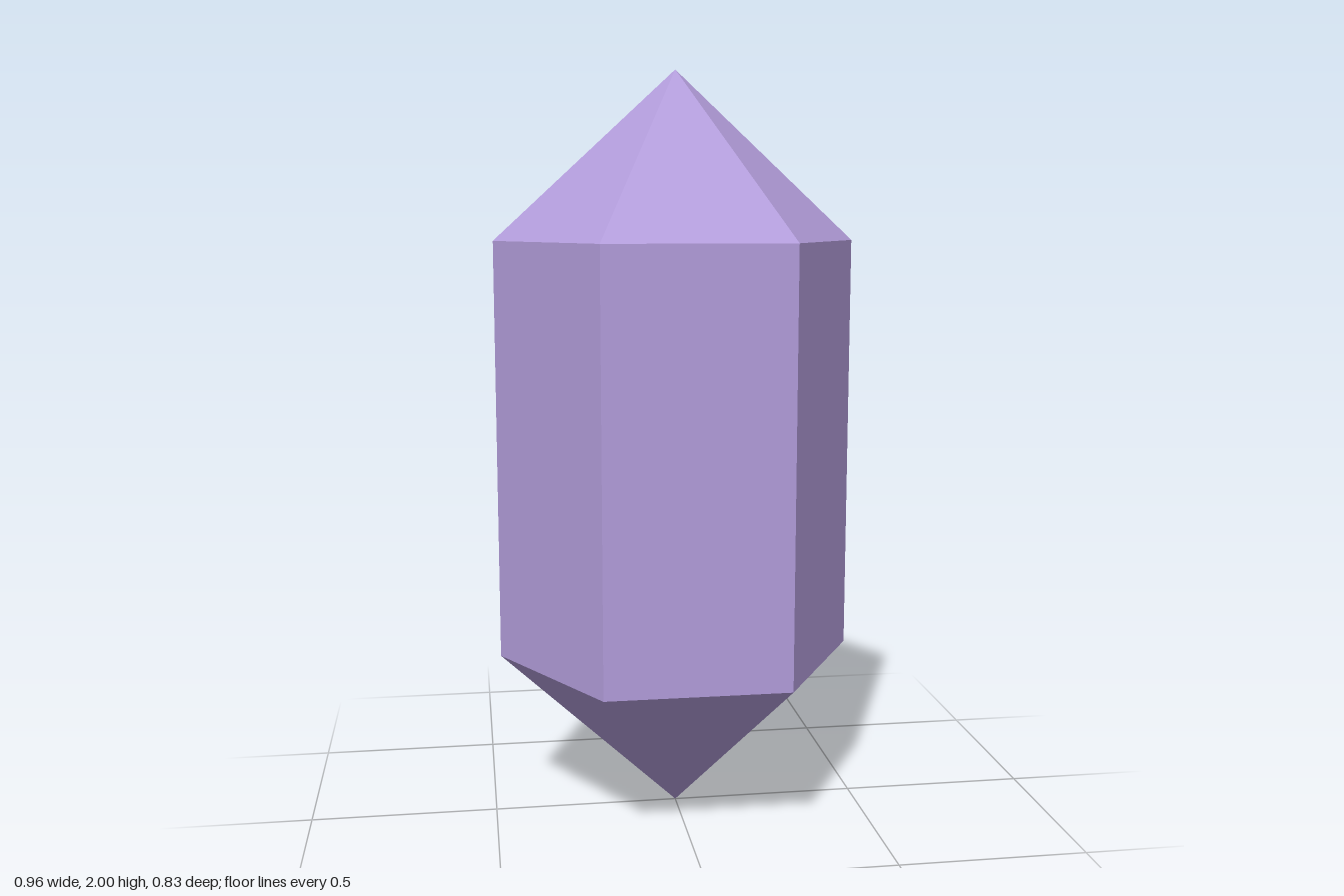
import * as THREE from 'three';

const SIDES = 6;
const RADIUS = 0.48;
const BODY_HEIGHT = 1.12;
const TIP_HEIGHT = 0.44;

export function createModel() {
  const crystal = new THREE.Group();
  crystal.name = 'crystal';
  const material = new THREE.MeshStandardMaterial({ color: 0xb39ddb, flatShading: true });

  // Open six-sided section with corners on the x axis
  const addSection = (name, topRadius, bottomRadius, height, y) => {
    const geometry = new THREE.CylinderGeometry(
      topRadius, bottomRadius, height, SIDES, 1, true, Math.PI / 2);
    const mesh = new THREE.Mesh(geometry, material);
    mesh.name = name;
    mesh.position.y = y;
    crystal.add(mesh);
  };

  // Pointed ends and the prism between them
  addSection('bottomTip', RADIUS, 0, TIP_HEIGHT, TIP_HEIGHT / 2);
  addSection('prismBody', RADIUS, RADIUS, BODY_HEIGHT, TIP_HEIGHT + BODY_HEIGHT / 2);
  addSection('topTip', 0, RADIUS, TIP_HEIGHT, TIP_HEIGHT * 1.5 + BODY_HEIGHT);

  return crystal;
}
